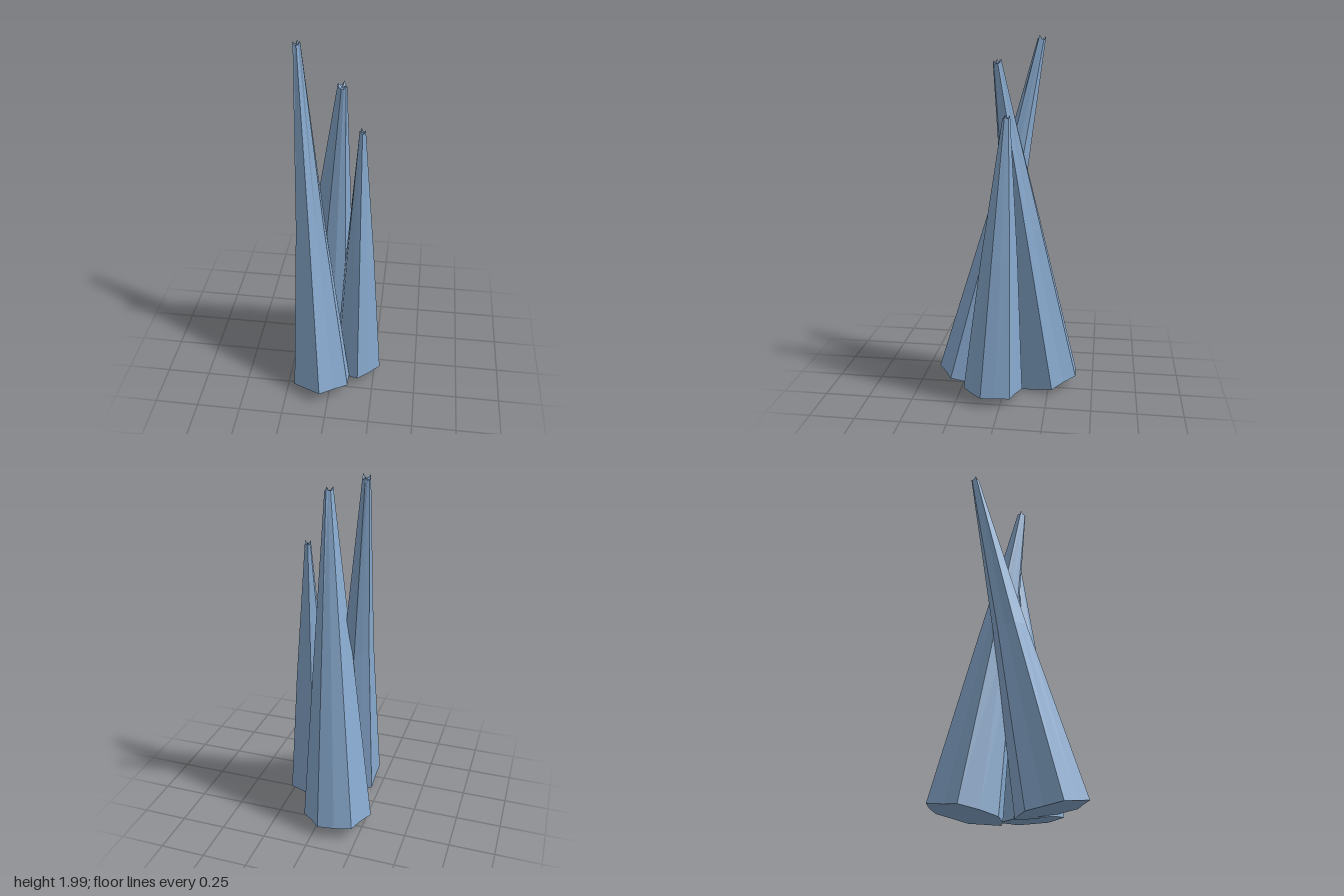
import * as THREE from 'three';

// Each crystal: base centre, tip centre, base outline [x, z] (left, front, right, back),
// relative width of the middle ring, and slope of the base (dy per x, dy per z).
const CRYSTALS = [
  {
    name: 'tallCrystal', base: [-0.05, 0.055, 0.21], tip: [-0.216, 1.985, -0.17], mid: 0.49, slope: [0.085, 0.19],
    outline: [[-0.205, 0.31], [-0.125, 0.355], [-0.045, 0.4], [0.03, 0.35], [0.11, 0.305], [0.108, 0.2],
      [0.09, 0.11], [0.02, 0.06], [-0.06, 0.025], [-0.135, 0.07], [-0.205, 0.12], [-0.203, 0.21]],
  },
  {
    name: 'backCrystal', base: [-0.1, 0.05, -0.21], tip: [0.04, 1.865, 0.041], mid: 0.57, slope: [-0.09, -0.17],
    outline: [[-0.285, -0.19], [-0.22, -0.1], [-0.13, -0.035], [-0.03, -0.045], [0.05, -0.08], [0.07, -0.18],
      [0.09, -0.275], [0.025, -0.335], [-0.035, -0.403], [-0.13, -0.4], [-0.225, -0.377], [-0.25, -0.275]],
  },
  {
    name: 'shortCrystal', base: [0.145, 0.05, 0.05], tip: [0.137, 1.59, -0.021], mid: 0.6, slope: [0.08, 0.05],
    outline: [[0.03, 0.115], [0.105, 0.2], [0.16, 0.22], [0.225, 0.165], [0.285, 0.105], [0.27, 0.025],
      [0.25, -0.055], [0.17, -0.075], [0.09, -0.105], [0.045, -0.05], [0.01, 0], [0.02, 0.06]],
  },
];

const TIP_SCALE = 0.12;

function crystalGeometry({ base, tip, outline, mid, slope }) {
  const n = outline.length;
  const pos = [];
  const index = [];
  // Base, middle and tip rings along the leaning axis
  [[0, 1], [0.5, mid], [1, TIP_SCALE]].forEach(([t, scale], r) => {
    outline.forEach(([x, z], i) => {
      const dx = (x - base[0]) * scale;
      const dz = (z - base[2]) * scale;
      const jag = r === 2 ? (i % 4 === 0 ? 0.013 : -0.006) : 0;
      pos.push(
        base[0] + (tip[0] - base[0]) * t + dx,
        base[1] + (tip[1] - base[1]) * t + dx * slope[0] + dz * slope[1] + jag,
        base[2] + (tip[2] - base[2]) * t + dz,
      );
    });
  });
  pos.push(...base, tip[0], tip[1] - 0.01, tip[2]);
  const bottom = 3 * n;
  const top = bottom + 1;
  for (let i = 0; i < n; i++) {
    const j = (i + 1) % n;
    // Side facets
    for (let r = 0; r < 2; r++) {
      const a = r * n + i, b = r * n + j;
      index.push(a, b, b + n, a, b + n, a + n);
    }
    // Base and broken tip
    index.push(bottom, j, i, top, 2 * n + i, 2 * n + j);
  }
  const g = new THREE.BufferGeometry();
  g.setAttribute('position', new THREE.Float32BufferAttribute(pos, 3));
  g.setIndex(index);
  const flat = g.toNonIndexed();
  flat.computeVertexNormals();
  return flat;
}

export function createModel() {
  const group = new THREE.Group();
  group.name = 'crystalCluster';
  const crystalBlue = new THREE.MeshStandardMaterial({ color: 0x88aacf, flatShading: true });
  crystalBlue.name = 'crystal blue';
  for (const spec of CRYSTALS) {
    const mesh = new THREE.Mesh(crystalGeometry(spec), crystalBlue);
    mesh.name = spec.name;
    group.add(mesh);
  }
  return group;
}
